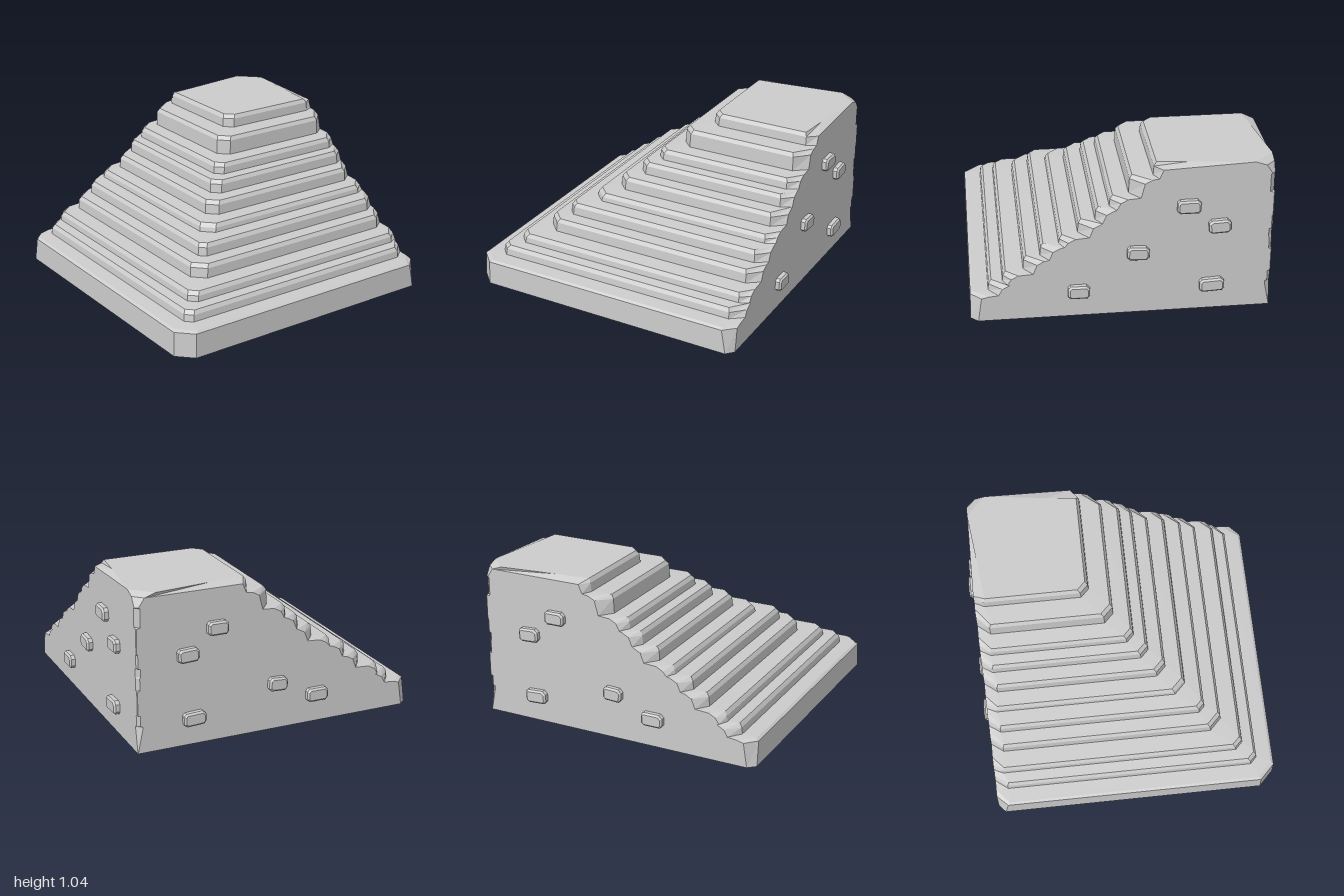
import * as THREE from 'three';

const material = new THREE.MeshStandardMaterial({ color: 0xcccccc, flatShading: true, side: THREE.DoubleSide });
const WALL = -0.956; // plane of both flat walls (x and z)

// [reach, top height, outer corner chamfer, chip on the wall corner]
const STEPS = [
  [0.988, 0.175, 0.1, 0.035],
  [0.868, 0.25, 0.045, 0.02],
  [0.775, 0.318, 0.05, 0.004],
  [0.64, 0.413, 0.08, 0.004],
  [0.53, 0.5, 0.04, 0.02],
  [0.41, 0.56, 0.075, 0.025],
  [0.287, 0.655, 0.065, 0.01],
  [0.178, 0.745, 0.055, 0.004],
  [0.087, 0.822, 0.05, 0.004],
  [-0.037, 0.95, 0.065, 0.03],
  [-0.188, 1.04, 0.055, 0.13],
];

// Horizontal outline: two walls meeting at a corner, two stepped sides, mirrored about x = z
function ring(reach, y, chamfer, chip, setback, inset = 0.08, pull = 0) {
  const half = [
    [WALL, WALL + chip],
    [WALL + pull, reach - setback],
    [WALL + inset, reach],
    [reach - chamfer, reach],
  ];
  const mirrored = half.map(([x, z]) => [z, x]).reverse();
  return [...half, ...mirrored].map(([x, z]) => [x, y, z]);
}

// Skin between successive outlines, closed on top and open underneath
function loft(rings) {
  const pos = [];
  const n = rings[0].length;
  for (let k = 0; k < rings.length - 1; k++) {
    const lo = rings[k], hi = rings[k + 1];
    for (let i = 0; i < n; i++) {
      const j = (i + 1) % n;
      pos.push(...lo[i], ...lo[j], ...hi[j], ...lo[i], ...hi[j], ...hi[i]);
    }
  }
  const top = rings[rings.length - 1];
  for (let i = 1; i < n - 1; i++) pos.push(...top[0], ...top[i], ...top[i + 1]);
  const geo = new THREE.BufferGeometry();
  geo.setAttribute('position', new THREE.Float32BufferAttribute(pos, 3));
  geo.computeVertexNormals();
  return geo;
}

// Worn brick with a bevelled face, pointing along +z
function brickGeometry(w, h) {
  const a = w / 2 - 0.012, b = h / 2 - 0.012;
  const shape = new THREE.Shape([
    [-a, -b + 0.01], [-a + 0.012, -b], [a - 0.01, -b], [a, -b + 0.012],
    [a, b - 0.015], [a - 0.015, b], [-a + 0.01, b], [-a, b - 0.01],
  ].map(([x, y]) => new THREE.Vector2(x, y)));
  const geo = new THREE.ExtrudeGeometry(shape, {
    depth: 0.03, bevelEnabled: true, bevelThickness: 0.012, bevelSize: 0.012, bevelSegments: 1,
  });
  return geo.translate(0, 0, -0.002);
}

export function createModel() {
  const model = new THREE.Group();
  model.name = 'steppedCorner';

  // Terraced body: each step has a riser, a bevelled lip and a tread
  const rings = [];
  let y0 = 0;
  STEPS.forEach(([r, y1, chamfer, chip], i) => {
    const last = i === STEPS.length - 1;
    const wear = 0.02 * Math.sin(i * 2.3);
    const lip = i === 0 ? 0.012 : 0.025;
    const lowChip = i === 0 ? 0.001 : last ? 0.02 : chip;
    const inset = 0.075 + wear * 0.6;
    rings.push(ring(r, y0, chamfer, lowChip, 0.05 + wear, i === 0 ? 0.045 : inset));
    rings.push(ring(r - 0.005, y1 - lip, chamfer, last ? 0.06 : chip, 0.07 + wear, inset));
    rings.push(ring(r - 0.022, y1, chamfer, chip, last ? 0.2 : 0.1 + wear, inset + 0.01, last ? 0.055 : 0));
    y0 = y1 + 0.006;
  });
  const body = new THREE.Mesh(loft(rings), material);
  body.name = 'terracedBody';
  model.add(body);

  // Bricks standing out of the two walls: [position along wall, height, width]
  const bricks = {
    backWallBrick: [[-0.41, 0.76, 0.15], [-0.61, 0.61, 0.14], [-0.09, 0.445, 0.14], [0.29, 0.185, 0.14], [-0.57, 0.185, 0.16]],
    sideWallBrick: [[-0.42, 0.76, 0.14], [-0.62, 0.61, 0.14], [0, 0.315, 0.13], [0.285, 0.195, 0.15], [-0.58, 0.18, 0.15]],
  };
  for (const [name, list] of Object.entries(bricks)) {
    const back = name === 'backWallBrick';
    list.forEach(([along, y, w], i) => {
      const brick = new THREE.Mesh(brickGeometry(w, 0.09), material);
      brick.name = name;
      brick.position.set(back ? along : WALL, y, back ? WALL : along);
      brick.rotation.set(0, back ? Math.PI : -Math.PI / 2, 0.06 * Math.sin(i * 2.1));
      model.add(brick);
    });
  }
  return model;
}
